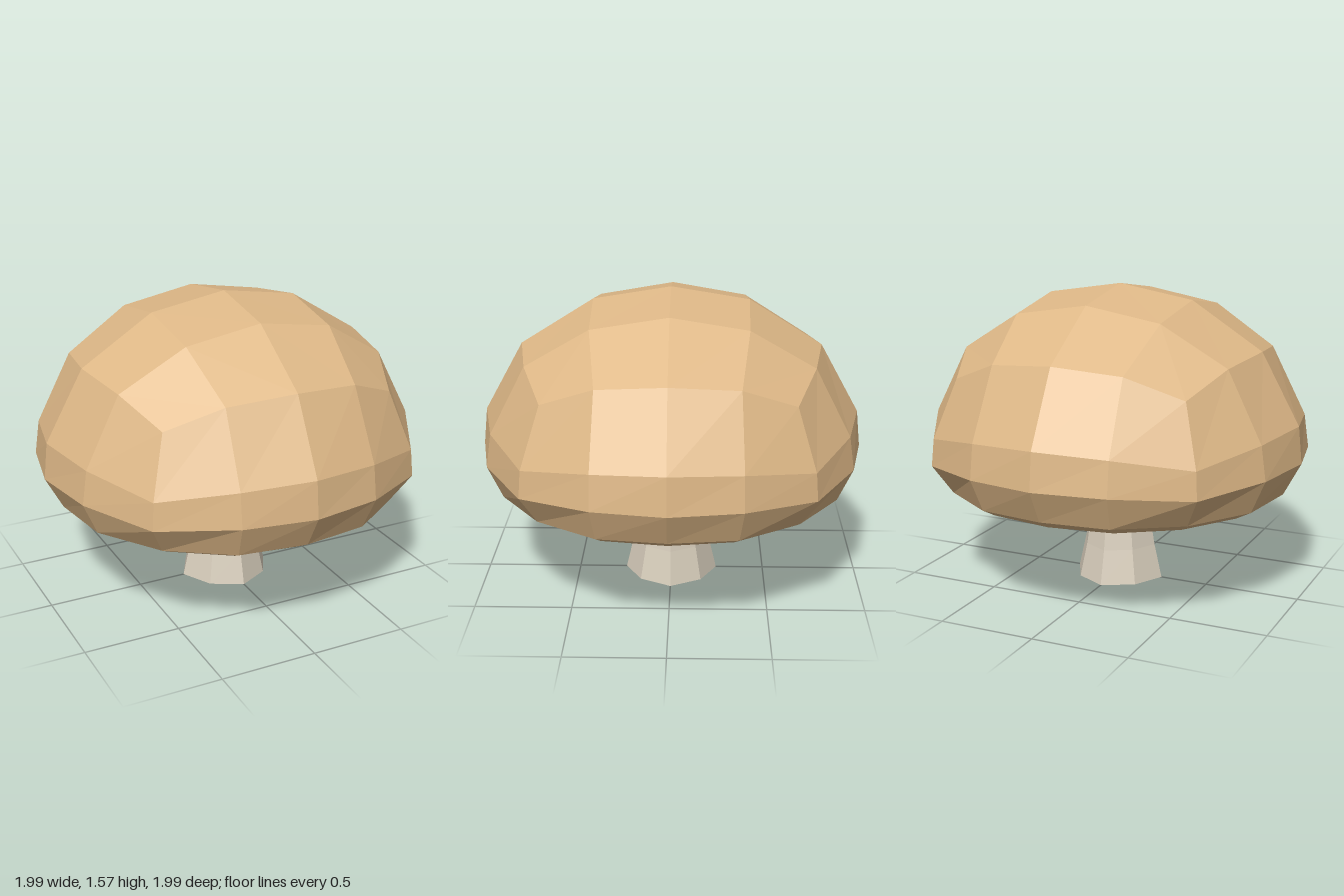
import * as THREE from 'three';

// Walk round the border of a square grid of half-size n, counter-clockwise from above
function border(n) {
  const list = [];
  for (let k = -n; k < n; k++) list.push([k, n]);
  for (let k = n; k > -n; k--) list.push([n, k]);
  for (let k = n; k > -n; k--) list.push([k, -n]);
  for (let k = -n; k < n; k++) list.push([-n, k]);
  return list;
}

// Place grid node (i, j) using the eight-fold symmetric sample [major, minor, y];
// samples run from the middle of a side to the corner
function place([i, j], samples) {
  const a = Math.abs(i), b = Math.abs(j);
  const [major, minor, y] = samples[Math.min(a, b)];
  return [Math.sign(i) * (a >= b ? major : minor), y, Math.sign(j) * (b > a || a === b ? major : minor)];
}

const ring = (n, samples) => border(n).map((node) => place(node, samples));

function quad(out, a, b, c, d) {
  out.push(...a, ...b, ...c, ...a, ...c, ...d);
}

// Skin a stack of rings listed from top to bottom
function skin(out, rings) {
  for (let r = 0; r + 1 < rings.length; r++) {
    const up = rings[r], low = rings[r + 1], n = up.length;
    for (let k = 0; k < n; k++) {
      const m = (k + 1) % n;
      quad(out, low[k], low[m], up[m], up[k]);
    }
  }
}

// Close a ring with a downward-facing fan
function closeBelow(out, points) {
  const y = points[0][1];
  points.forEach((p, k) => out.push(...p, 0, y, 0, ...points[(k + 1) % points.length]));
}

function makeMesh(name, positions, material) {
  const geometry = new THREE.BufferGeometry();
  geometry.setAttribute('position', new THREE.Float32BufferAttribute(positions, 3));
  geometry.computeVertexNormals();
  const mesh = new THREE.Mesh(geometry, material);
  mesh.name = name;
  return mesh;
}

export function createModel() {
  const tan = new THREE.MeshStandardMaterial({ color: 0xdeb887 });
  tan.name = 'capTan';
  const cream = new THREE.MeshStandardMaterial({ color: 0xd8cebc });
  cream.name = 'stemCream';
  const grey = new THREE.MeshStandardMaterial({ color: 0xdadad8 });
  grey.name = 'collarGrey';

  const group = new THREE.Group();
  group.name = 'mushroom';

  // Cap profile, each ring as side middle, quarter point and corner
  const capRings = [
    [[0.775, 0, 1.27], [0.72, 0.345, 1.24], [0.615, 0.615, 1.13]],
    [[0.975, 0, 0.91], [0.9, 0.358, 0.89], [0.705, 0.705, 0.83]],
    [[0.995, 0, 0.72], [0.925, 0.36, 0.715], [0.715, 0.715, 0.69]],
    [[0.905, 0, 0.55], [0.85, 0.34, 0.545], [0.64, 0.64, 0.54]],
    [[0.82, 0, 0.5], [0.77, 0.32, 0.5], [0.59, 0.59, 0.5]],
    [[0.58, 0, 0.525], [0.53, 0.22, 0.525], [0.41, 0.41, 0.525]],
    [[0.34, 0, 0.55], [0.28, 0.11, 0.55], [0.22, 0.22, 0.55]],
  ];
  const cap = [];
  skin(cap, capRings.map((samples) => ring(2, samples)));

  // Domed top, a four by four patch
  const crown = [
    [[0, 0, 1.57]],
    [[0.4, 0, 1.505], [0.39, 0.39, 1.44]],
    capRings[0],
  ];
  const node = (i, j) => place([i, j], crown[Math.max(Math.abs(i), Math.abs(j))]);
  for (let i = -2; i < 2; i++) {
    for (let j = -2; j < 2; j++) {
      quad(cap, node(i, j), node(i, j + 1), node(i + 1, j + 1), node(i + 1, j));
    }
  }
  group.add(makeMesh('cap', cap, tan));

  // Pale collar on the underside around the stem
  const collar = [];
  closeBelow(collar, ring(2, capRings[6]));
  group.add(makeMesh('collar', collar, grey));

  // Eight-sided flared stem: radius, height
  const stemRings = [[0.19, 0.56], [0.185, 0.5], [0.17, 0.37], [0.203, 0.18], [0.245, 0]]
    .map(([r, y]) => ring(1, [[r, 0, y], [r * 0.655, r * 0.655, y]]));
  const stem = [];
  skin(stem, stemRings);
  closeBelow(stem, stemRings[4]);
  group.add(makeMesh('stem', stem, cream));

  return group;
}
